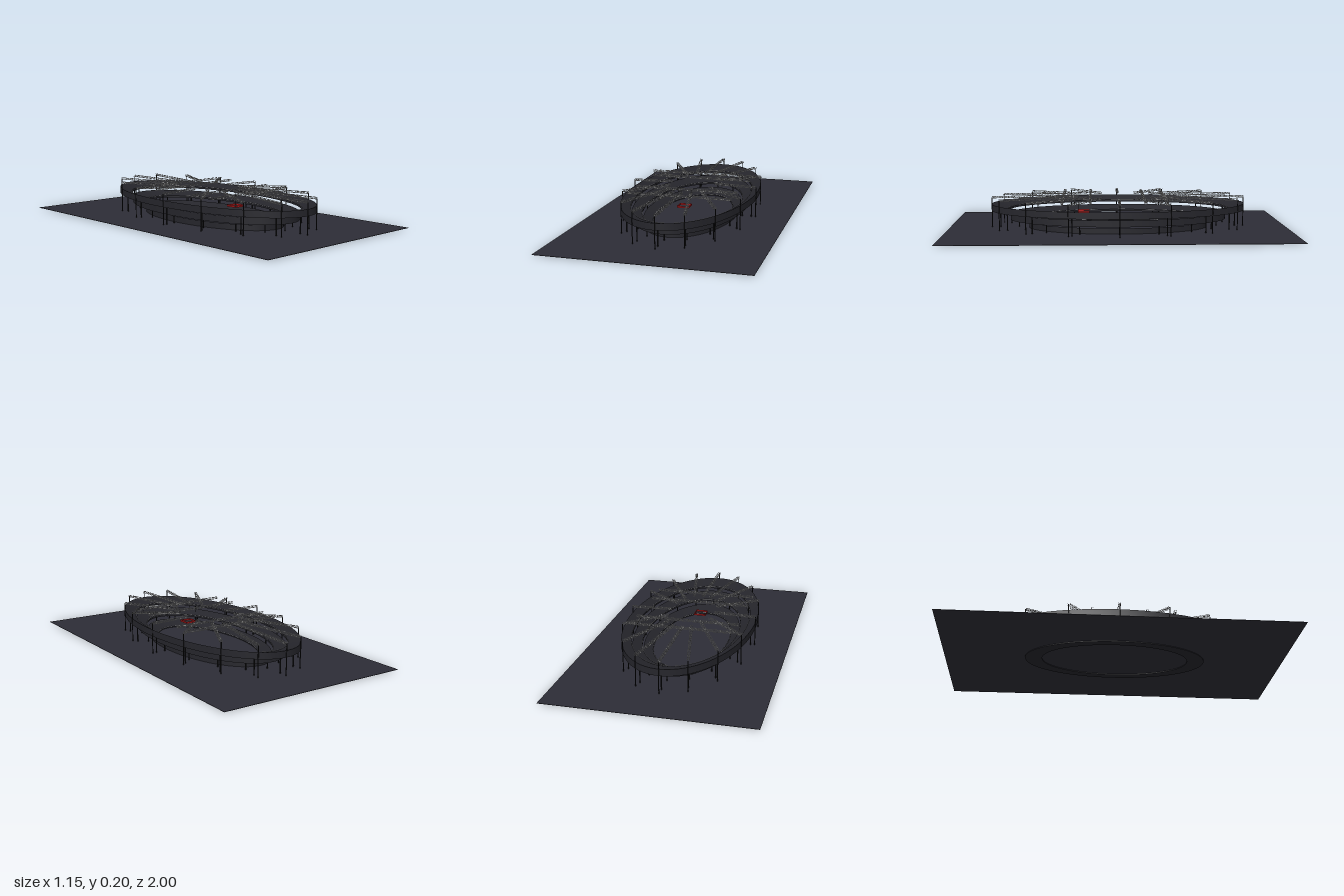
import * as THREE from 'three';
import { mergeGeometries, toCreasedNormals } from 'three/addons/utils/BufferGeometryUtils.js';

const mat = (name, color, side = THREE.FrontSide) => {
  const m = new THREE.MeshStandardMaterial({ color, side });
  m.name = name;
  return m;
};

const V = (x, y, z) => new THREE.Vector3(x, y, z);

// Square bar stretched between two points
function bar(a, b, t) {
  const d = b.clone().sub(a);
  const g = new THREE.BoxGeometry(t, d.length(), t);
  const q = new THREE.Quaternion().setFromUnitVectors(V(0, 1, 0), d.normalize());
  return g.applyQuaternion(q).translate((a.x + b.x) / 2, (a.y + b.y) / 2, (a.z + b.z) / 2);
}

// Lattice truss: four chords joined by zigzag braces on every side
function truss(a, b, width = 0.013, height = 0.01) {
  const t = 0.0014;
  const dir = b.clone().sub(a);
  const bays = Math.round(dir.length() / 0.018);
  const side = V(-dir.z, 0, dir.x).normalize().multiplyScalar(width / 2);
  const up = V(0, height / 2, 0);
  const corners = [[-1, -1], [1, -1], [1, 1], [-1, 1]];
  const at = (c, f) => a.clone().lerp(b, f)
    .addScaledVector(side, corners[c % 4][0]).addScaledVector(up, corners[c % 4][1]);
  const parts = [];
  for (let c = 0; c < 4; c++) {
    parts.push(bar(at(c, 0), at(c, 1), t));
    for (let i = 0; i < bays; i++) {
      const flip = i % 2;
      parts.push(bar(at(c + flip, i / bays), at(c + 1 - flip, (i + 1) / bays), t));
    }
  }
  return mergeGeometries(parts);
}

// Point on an ellipse twice as long in z as in x
const onOval = (r, y, k) => {
  const a = k * Math.PI / 8;
  return V(r * Math.sin(a), y, 2 * r * Math.cos(a));
};

export function createModel() {
  const group = new THREE.Group();
  const ground = mat('groundSlate', 0x2d2d36);
  const stand = mat('standCharcoal', 0x25252b);
  const steel = mat('blackSteel', 0x141416);
  const light = mat('paleMetal', 0xc4c4c4);
  const red = mat('displayRed', 0xb01818, THREE.DoubleSide);

  const add = (name, geometry, material) => {
    const m = new THREE.Mesh(geometry, material);
    m.name = name;
    group.add(m);
    return m;
  };

  // Ground slab
  add('groundSlab', new THREE.BoxGeometry(1.15, 0.002, 2).translate(0, 0.005, 0), ground);

  // Three oval seating tiers, sloping down towards the field
  const tiers = [
    { outer: 0.265, y: 0, name: 'lowerTier' },
    { outer: 0.32, y: 0.055, name: 'middleTier' },
    { outer: 0.375, y: 0.108, name: 'upperTier' },
  ];
  for (const { outer, y, name } of tiers) {
    const inner = outer - 0.05;
    const profile = [[inner, y], [outer, y], [outer, y + 0.039], [inner, y + 0.012], [inner, y]]
      .map(p => new THREE.Vector2(...p));
    const g = new THREE.LatheGeometry(profile, 96).scale(1, 1, 2);
    add(name, toCreasedNormals(g, 0.5), stand);

    // Thin rail along the inner edge
    const rail = new THREE.TorusGeometry(inner, 0.0008, 4, 96).rotateX(Math.PI / 2);
    add(name + 'Rail', rail.scale(1, 1, 2).translate(0, y + 0.014, 0), light);
  }

  // Columns under the tiers and tall masts around the rim
  const columns = (name, r, top, radius) => {
    const parts = [];
    for (let k = 0; k < 16; k++) {
      const p = onOval(r, 0, k);
      parts.push(new THREE.CylinderGeometry(radius, radius, top - 0.005, 8)
        .translate(p.x, (top + 0.005) / 2, p.z));
    }
    add(name, mergeGeometries(parts), steel);
  };
  columns('middleTierColumns', 0.295, 0.058, 0.0035);
  columns('upperTierColumns', 0.35, 0.112, 0.0035);
  columns('roofMasts', 0.375, 0.183, 0.0028);

  // Radial roof trusses rising gently inwards
  const radial = [];
  for (let k = 0; k < 16; k++) radial.push(truss(onOval(0.375, 0.184, k), onOval(0.13, 0.191, k)));
  add('radialTrusses', mergeGeometries(radial), light);

  // Cross trusses spanning the field
  const cross = [-0.27, -0.15, 0.165, 0.325].map(z => truss(V(-0.305, 0.186, z), V(0.305, 0.186, z)));
  add('crossTrusses', mergeGeometries(cross), light);

  // Hanging display: four thin red walls, open above and below
  const walls = [];
  for (let i = 0; i < 4; i++) {
    walls.push(new THREE.BoxGeometry(0.07, 0.01, 0.002).translate(0, 0, 0.034)
      .rotateY(i * Math.PI / 2).translate(0, 0.1, 0.205));
  }
  add('hangingDisplay', mergeGeometries(walls), red);

  // Suspension wires of the display
  const wires = [];
  for (const x of [-0.034, 0.034])
    for (const z of [0.171, 0.239]) wires.push(bar(V(x, 0.1, z), V(x, 0.186, z), 0.0008));
  add('displayWires', mergeGeometries(wires), steel);

  return group;
}
